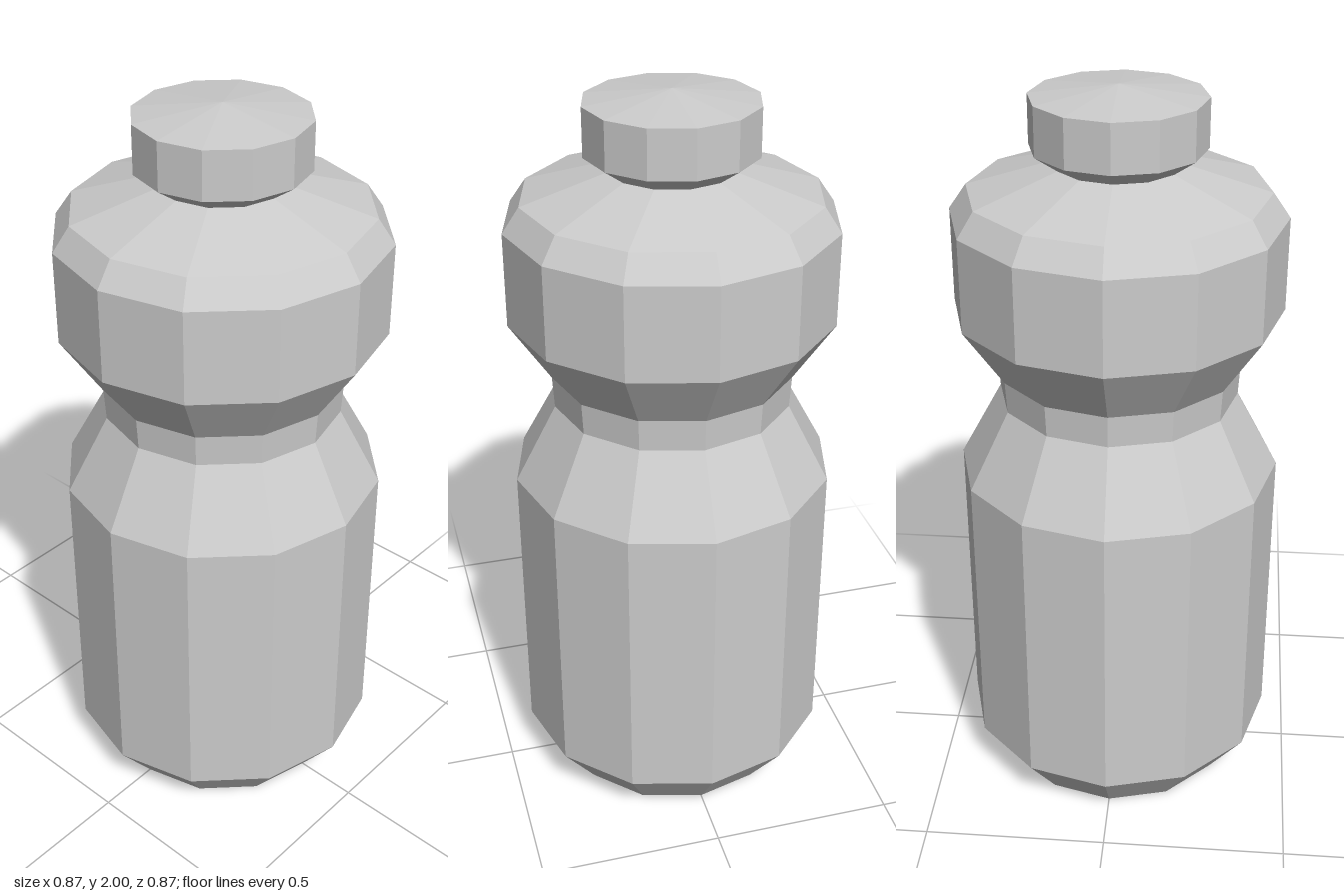
import * as THREE from 'three';

const SIDES = 12;
const material = new THREE.MeshStandardMaterial({ color: 0xcccccc, flatShading: true });

// Faceted solid of revolution from [radius, height] pairs, bottom to top
function turned(name, profile) {
  const points = profile.map(([r, y]) => new THREE.Vector2(r, y));
  const mesh = new THREE.Mesh(new THREE.LatheGeometry(points, SIDES), material);
  mesh.name = name;
  return mesh;
}

export function createModel() {
  const bottle = new THREE.Group();
  bottle.name = 'sportsBottle';

  // Body: closed base, chamfer, straight wall, grip waist, upper wall
  bottle.add(turned('body', [
    [0, 0], [0.325, 0], [0.433, 0.145], [0.433, 0.96],
    [0.32, 1.17], [0.325, 1.257], [0.433, 1.42], [0.433, 1.67],
  ]));

  // Lid: bevelled rim and shallow cone up to the neck
  bottle.add(turned('lid', [[0.433, 1.67], [0.388, 1.735], [0.165, 1.803]]));

  // Spout cap: flared underside, short wall, slightly domed top
  bottle.add(turned('spoutCap', [[0.165, 1.803], [0.225, 1.845], [0.225, 1.972], [0, 2]]));

  return bottle;
}
